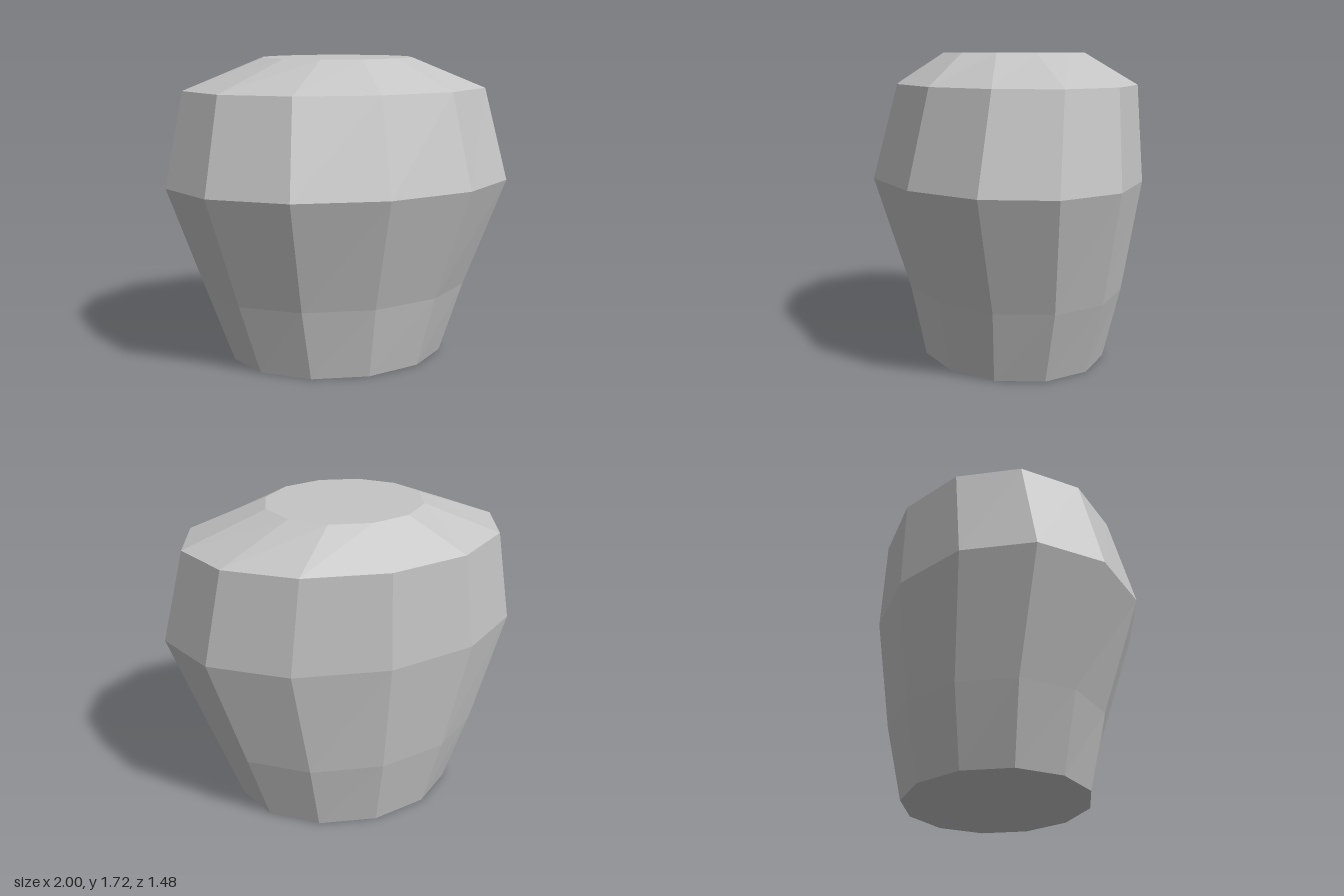
import * as THREE from 'three';

// Rings from the base up: [height, half width, half depth, z offset]
const RINGS = [
  [0, 0.63, 0.515, -0.056],
  [0.405, 0.775, 0.6, -0.057],
  [1.03, 1, 0.74, 0],
  [1.545, 0.885, 0.658, -0.057],
  [1.715, 0.433, 0.4, -0.06],
];

export function createModel() {
  const group = new THREE.Group();
  group.name = 'facetedJar';

  const grey = new THREE.MeshStandardMaterial({ color: 0xc4c4c4, flatShading: true });
  grey.name = 'light grey';

  // Twelve-sided closed body: each row of a unit cylinder becomes one oval ring
  const bands = RINGS.length - 1;
  const cylinder = new THREE.CylinderGeometry(1, 1, bands, 12, bands);
  const pos = cylinder.attributes.position;
  for (let i = 0; i < pos.count; i++) {
    const [y, rx, rz, dz] = RINGS[Math.round(pos.getY(i) + bands / 2)];
    pos.setXYZ(i, pos.getX(i) * rx, y, pos.getZ(i) * rz + dz);
  }
  const geometry = cylinder.toNonIndexed();
  geometry.clearGroups();
  geometry.computeVertexNormals();

  const body = new THREE.Mesh(geometry, grey);
  body.name = 'body';
  group.add(body);
  return group;
}
